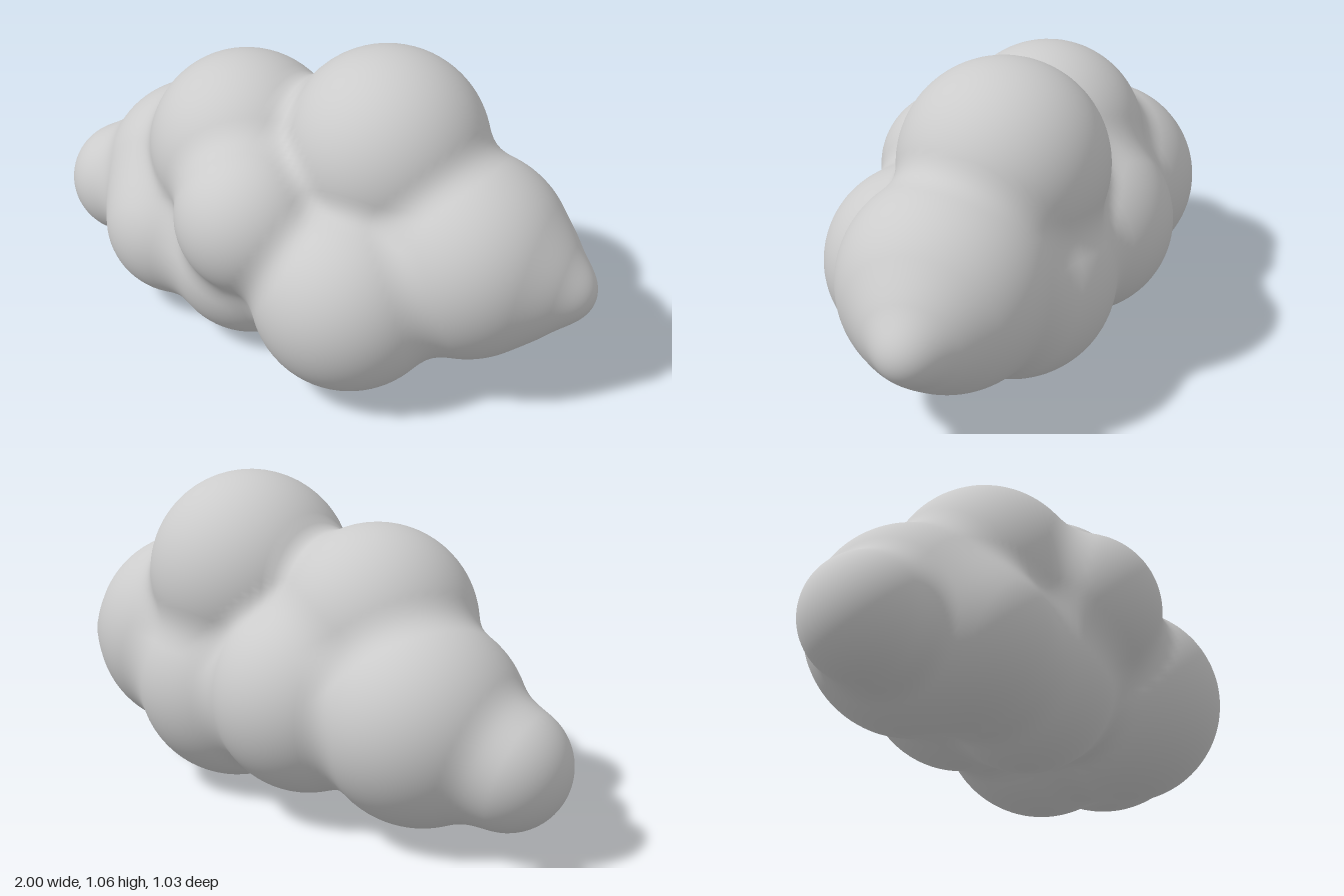
import * as THREE from 'three';

// Puffs of the cloud: x, y, z, radius
const PUFFS = [
  [0.25, 0.73, -0.08, 0.335],  // crown
  [-0.25, 0.62, -0.03, 0.325], // second crown
  [-0.07, 0.54, 0.23, 0.255],  // front middle
  [0.27, 0.345, 0.2, 0.32],    // front lower
  [-0.17, 0.29, 0.08, 0.285],  // underside
  [-0.51, 0.38, -0.13, 0.33],  // back right side
  [-0.47, 0.3, 0.06, 0.26],    // front right side
  [-0.8, 0.29, -0.09, 0.2],    // round end
  [-0.11, 0.4, -0.2, 0.315],   // back middle
  [0.28, 0.365, -0.12, 0.335], // back left side
  [0.57, 0.46, -0.03, 0.34],   // left side
  [0.78, 0.43, -0.05, 0.18],   // taper
  [0.91, 0.41, -0.065, 0.085], // pointed end
];
const BLEND = 0.07;

// Distance to the puffs, with soft creases where they meet
function distance(p) {
  let d = Infinity;
  for (const [x, y, z, r] of PUFFS) {
    const e = Math.hypot(p.x - x, p.y - y, p.z - z) - r;
    const h = Math.max(BLEND - Math.abs(d - e), 0) / BLEND;
    d = Math.min(d, e) - h * h * BLEND * 0.25;
  }
  return d;
}

function gradient(p) {
  const s = 0.002;
  const slope = (axis) => {
    const a = p.clone(), b = p.clone();
    a[axis] += s;
    b[axis] -= s;
    return distance(a) - distance(b);
  };
  return new THREE.Vector3(slope('x'), slope('y'), slope('z')).normalize();
}

export function createModel() {
  const group = new THREE.Group();
  group.name = 'cloud';

  // A sphere with its poles on x, stretched along a spine and shrunk onto the puffs
  const geometry = new THREE.SphereGeometry(1, 200, 150).rotateZ(Math.PI / 2);
  const pos = geometry.attributes.position;
  const normal = geometry.attributes.normal;
  const dir = new THREE.Vector3();
  const p = new THREE.Vector3();
  for (let i = 0; i < pos.count; i++) {
    dir.fromBufferAttribute(pos, i).normalize();
    const spine = new THREE.Vector3(0.7 * dir.x, 0.4 + 0.06 * dir.x, -0.05);
    let t = 1.2;
    for (let n = 0; n < 100; n++) {
      p.copy(spine).addScaledVector(dir, t);
      const d = distance(p);
      if (Math.abs(d) < 0.0002) break;
      t -= d * 0.95;
    }
    pos.setXYZ(i, p.x, p.y, p.z);
    const g = gradient(p);
    normal.setXYZ(i, g.x, g.y, g.z);
  }

  const body = new THREE.Mesh(
    geometry,
    new THREE.MeshStandardMaterial({ color: 0xcccccc })
  );
  body.name = 'cloudBody';
  group.add(body);
  return group;
}
